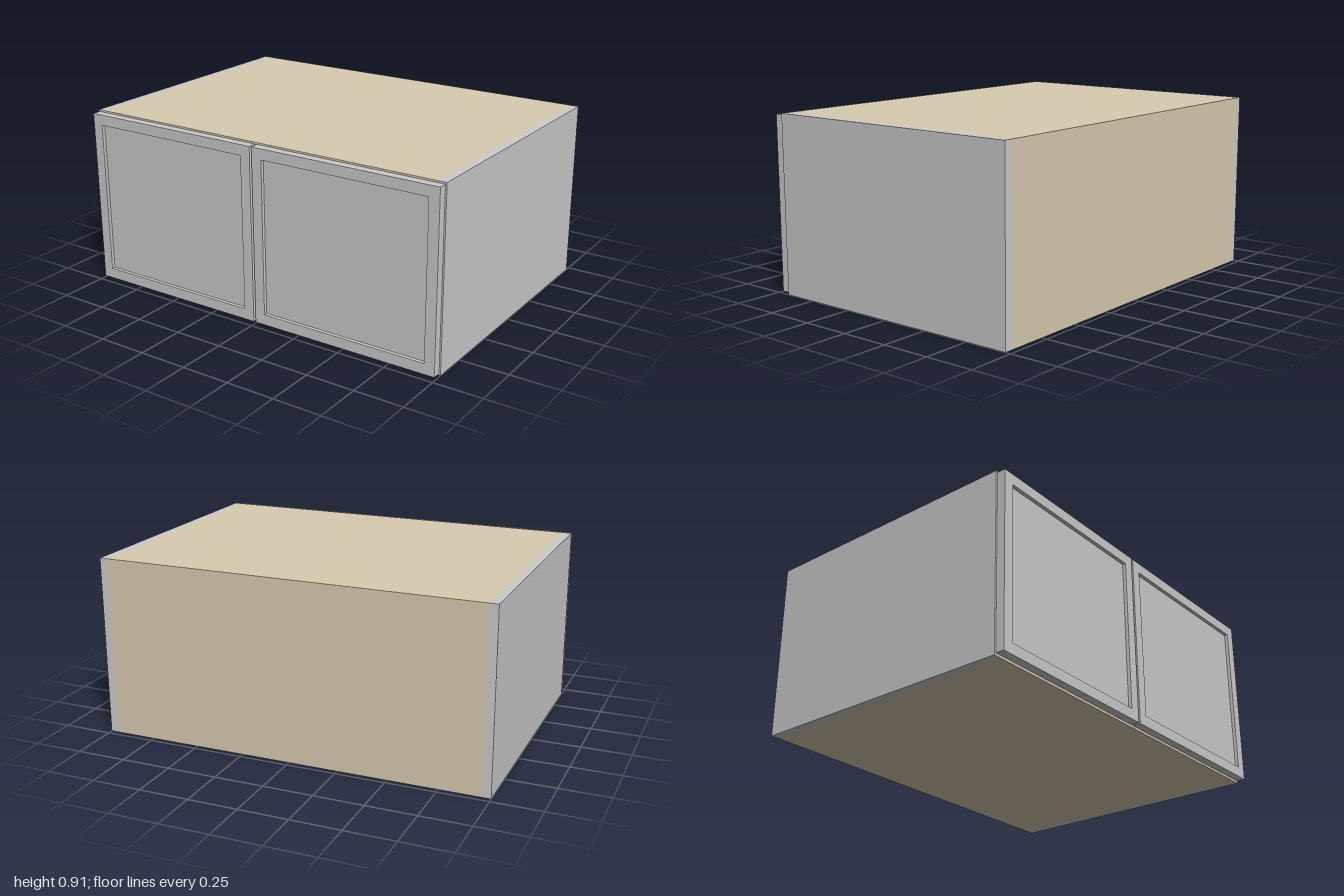
import * as THREE from 'three';

const W = 2, H = 0.91, T = 0.04;          // cabinet width, height, board thickness
const BACK = -0.723, FRONT = 0.677;       // carcass depth range
const DOOR_FRONT = 0.723;

const grey = new THREE.MeshStandardMaterial({ color: 0xcccccc });
const wood = new THREE.MeshStandardMaterial({ color: 0xd8cbb0 });

// Box given by its minimum and maximum corners
function board(name, material, min, max) {
  const size = max.map((v, i) => v - min[i]);
  const mesh = new THREE.Mesh(new THREE.BoxGeometry(...size), material);
  mesh.position.set(...max.map((v, i) => (v + min[i]) / 2));
  mesh.name = name;
  return mesh;
}

function rectangle(target, x0, y0, x1, y1) {
  target.moveTo(x0, y0);
  target.lineTo(x1, y0);
  target.lineTo(x1, y1);
  target.lineTo(x0, y1);
  target.closePath();
  return target;
}

// Framed door with a recessed flat panel
function createDoor(name, x0, x1) {
  const door = new THREE.Group();
  door.name = name;
  const y0 = 0.01, y1 = 0.902, rail = 0.054, back = FRONT + 0.003;
  const outline = rectangle(new THREE.Shape(), x0, y0, x1, y1);
  outline.holes.push(rectangle(new THREE.Path(), x0 + rail, y0 + rail, x1 - rail, y1 - rail));
  const frame = new THREE.Mesh(
    new THREE.ExtrudeGeometry(outline, { depth: DOOR_FRONT - back, bevelEnabled: false }), grey);
  frame.position.z = back;
  frame.name = 'doorFrame';
  const panel = board('doorPanel', grey,
    [x0 + rail, y0 + rail, back + 0.01], [x1 - rail, y1 - rail, DOOR_FRONT - 0.018]);
  door.add(frame, panel);
  return door;
}

export function createModel() {
  const cabinet = new THREE.Group();
  cabinet.name = 'wallCabinet';
  const inner = W / 2 - T;

  // Side boards
  cabinet.add(
    board('leftSide', grey, [inner, 0, BACK], [W / 2, H, FRONT]),
    board('rightSide', grey, [-W / 2, 0, BACK], [-inner, H, FRONT]));

  // Boards between the sides
  cabinet.add(
    board('topBoard', wood, [-inner, H - T, BACK], [inner, H, FRONT]),
    board('bottomBoard', wood, [-inner, 0, BACK], [inner, T, FRONT]),
    board('backBoard', wood, [-inner, T, BACK], [inner, H - T, BACK + T]),
    board('shelf', wood, [-inner, 0.44, BACK + T], [inner, 0.48, FRONT - 0.03]));

  // Pair of doors
  cabinet.add(createDoor('leftDoor', 0.006, 0.994), createDoor('rightDoor', -0.994, -0.006));
  return cabinet;
}
